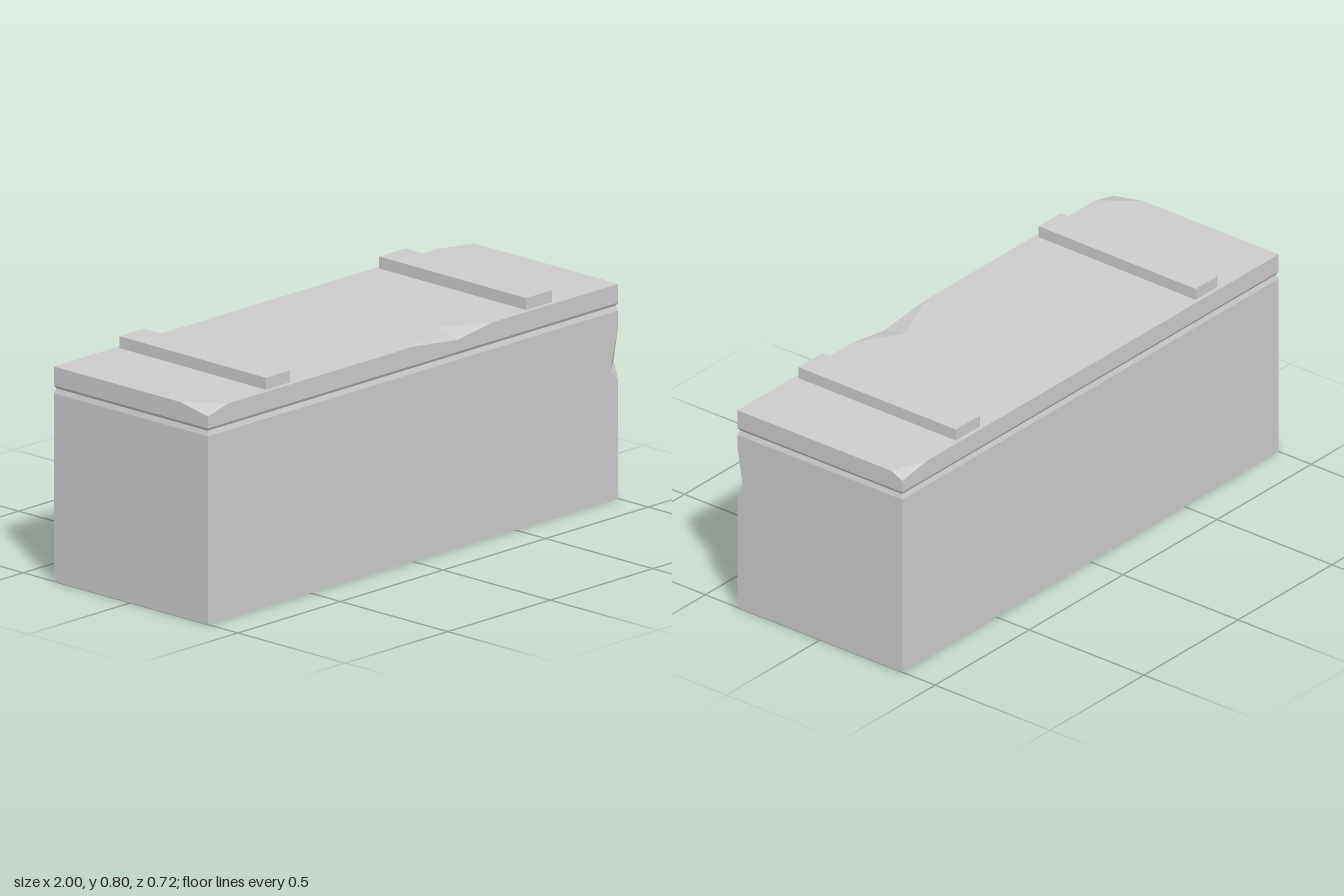
import * as THREE from 'three';

const material = new THREE.MeshStandardMaterial({ color: 0xcccccc, flatShading: true });
const X = 1, ZF = 0.36, ZB = -0.358, INSET = 0.006;

// Closed solid from flat polygons; each face is turned away from the given inner point.
function solid(name, inner, polygons) {
  const out = [];
  for (const poly of polygons) {
    const pts = poly.map((p) => new THREE.Vector3(...p));
    const normal = new THREE.Vector3();
    pts.forEach((p, i) => normal.add(p.clone().cross(pts[(i + 1) % pts.length])));
    const size = [Math.abs(normal.x), Math.abs(normal.y), Math.abs(normal.z)];
    const drop = size.indexOf(Math.max(...size));
    const [u, v] = [0, 1, 2].filter((k) => k !== drop);
    const flat = poly.map((p) => new THREE.Vector2(p[u], p[v]));
    if (THREE.ShapeUtils.isClockWise(flat)) { flat.reverse(); pts.reverse(); }
    for (const [i, j, k] of THREE.ShapeUtils.triangulateShape(flat, [])) {
      const [a, b, c] = [pts[i], pts[j], pts[k]];
      const n = b.clone().sub(a).cross(c.clone().sub(a));
      const outward = n.dot(a.clone().sub(inner)) > 0;
      for (const p of outward ? [a, b, c] : [a, c, b]) out.push(p.x, p.y, p.z);
    }
  }
  const geometry = new THREE.BufferGeometry();
  geometry.setAttribute('position', new THREE.Float32BufferAttribute(out, 3));
  geometry.computeVertexNormals();
  const mesh = new THREE.Mesh(geometry, material);
  mesh.name = name;
  return mesh;
}

// Rectangle at height y, drawn in from the outer walls.
const ring = (y, inset = 0) => [
  [-X + inset, y, ZF - inset], [X - inset, y, ZF - inset],
  [X - inset, y, ZB + inset], [-X + inset, y, ZB + inset],
];

// Four sloping strips joining two rings.
const strips = (a, b) => a.map((p, i) => [p, a[(i + 1) % 4], b[(i + 1) % 4], b[i]]);

function createBody() {
  const y = 0.663, seam = 0.68;
  const base = ring(0), shoulder = ring(y), rim = ring(seam, INSET);
  // Chip in the front corner
  const high = [X, 0.61, ZF], low = [X, 0.42, ZF];
  const onSide = [X, 0.483, 0.338], onFront = [0.96, 0.455, ZF];
  return solid('chestBody', new THREE.Vector3(0, 0.34, 0), [
    base, rim, ...strips(shoulder, rim),
    [base[0], base[1], low, onFront, high, shoulder[1], shoulder[0]],
    [base[2], base[1], low, onSide, high, shoulder[1], shoulder[2]],
    [base[2], base[3], shoulder[3], shoulder[2]],
    [base[3], base[0], shoulder[0], shoulder[3]],
    [high, onFront, onSide], [onSide, onFront, low],
  ]);
}

function createLid() {
  const t = 0.757;
  const under = ring(0.68, INSET), lower = ring(0.691), upper = ring(t);
  // Notch in the middle of the front edge
  const n0 = [0, t, ZF], n1 = [0.39, t, ZF], nTop = [0.22, t, 0.265], nFront = [0.22, 0.733, ZF];
  // Broken corners at front left and back right of the top
  const a = [[-0.9, t, ZF], [-X, t, 0.23], [-X, 0.733, ZF]];
  const b = [[X, t, -0.31], [0.87, t, ZB], [X, 0.735, ZB]];
  return solid('lid', new THREE.Vector3(0, 0.72, 0), [
    under, ...strips(under, lower),
    [a[0], n0, nTop, n1, upper[1], b[0], b[1], upper[3], a[1]],
    [lower[0], lower[1], upper[1], n1, nFront, n0, a[0], a[2]],
    [lower[1], upper[1], b[0], b[2], lower[2]],
    [lower[2], b[2], b[1], upper[3], lower[3]],
    [lower[3], upper[3], a[1], a[2], lower[0]],
    a, b, [n0, nFront, nTop], [nTop, nFront, n1],
  ]);
}

// Crossbar on the lid, slightly out of square
function createBar(name, x, width, skew) {
  const geometry = new THREE.BoxGeometry(width, 0.045, 0.687);
  const pos = geometry.attributes.position;
  for (let i = 0; i < pos.count; i++) pos.setX(i, pos.getX(i) - skew * pos.getZ(i));
  geometry.computeVertexNormals();
  const bar = new THREE.Mesh(geometry, material);
  bar.name = name;
  bar.position.set(x, 0.7765, 0);
  return bar;
}

export function createModel() {
  const group = new THREE.Group();
  group.name = 'chest';
  group.add(
    createBody(),
    createLid(),
    createBar('lidBarLeftEnd', -0.638, 0.118, 0.008),
    createBar('lidBarRightEnd', 0.633, 0.127, 0.004),
  );
  return group;
}
